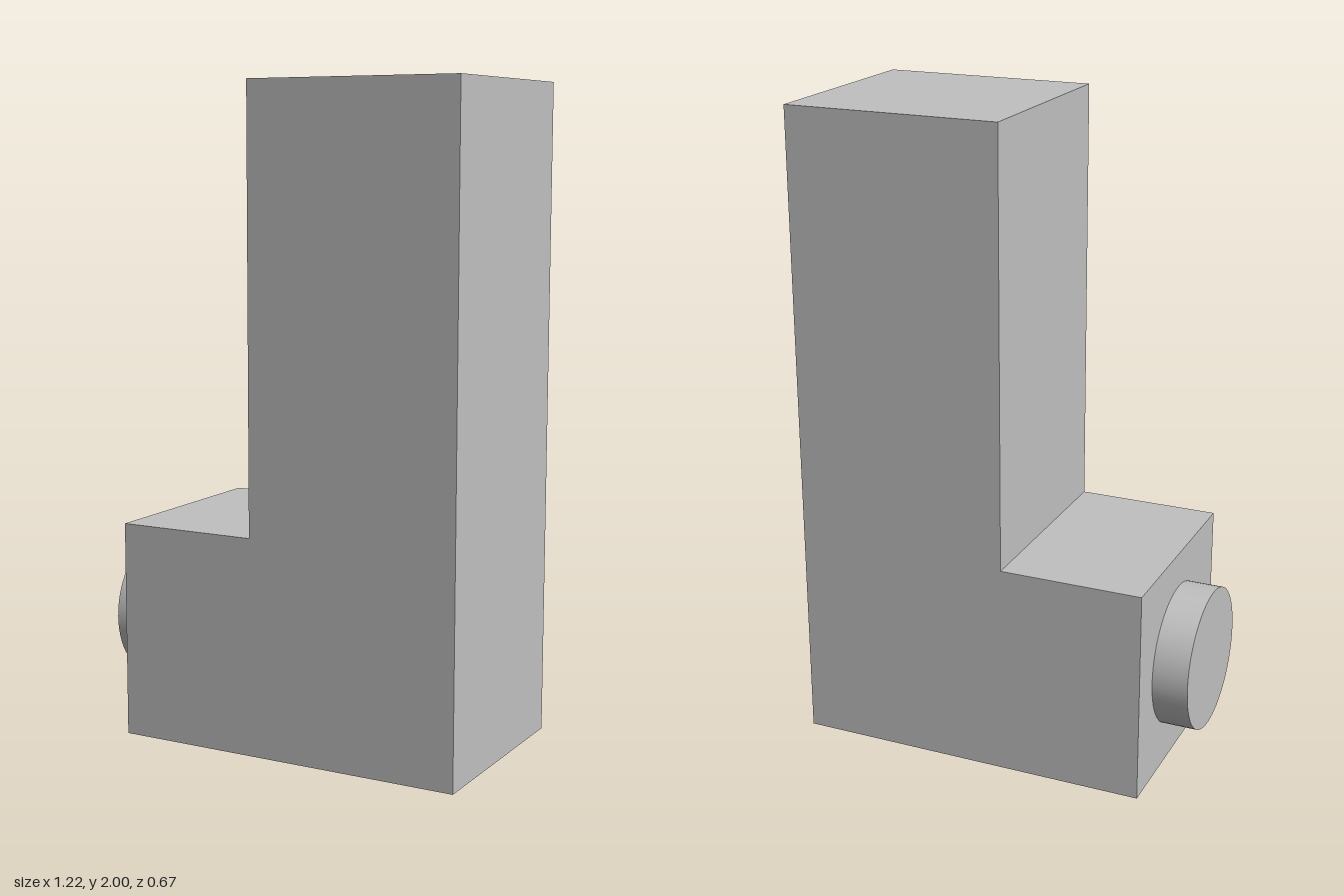
import * as THREE from 'three';

export function createModel() {
  const model = new THREE.Group();
  const grey = new THREE.MeshStandardMaterial({ color: 0xc0c0c0 });
  grey.name = 'grey';

  // L-shaped body: upright column with a low foot towards -x
  const left = 0.611, step = -0.056, right = -0.5, footTop = 0.667, depth = 0.667;
  const outline = new THREE.Shape([
    [right, 0], [left, 0], [left, 2], [step, 2], [step, footTop], [right, footTop],
  ].map(([x, y]) => new THREE.Vector2(x, y)));
  const bodyGeometry = new THREE.ExtrudeGeometry(outline, { depth, bevelEnabled: false });
  bodyGeometry.translate(0, 0, -depth / 2);
  const body = new THREE.Mesh(bodyGeometry, grey);
  body.name = 'body';
  model.add(body);

  // Round boss on the end of the foot
  const bossLength = 0.111;
  const boss = new THREE.Mesh(new THREE.CylinderGeometry(0.222, 0.222, bossLength, 64), grey);
  boss.name = 'boss';
  boss.rotation.z = Math.PI / 2;
  boss.position.set(right - bossLength / 2, footTop / 2, 0);
  model.add(boss);

  return model;
}
